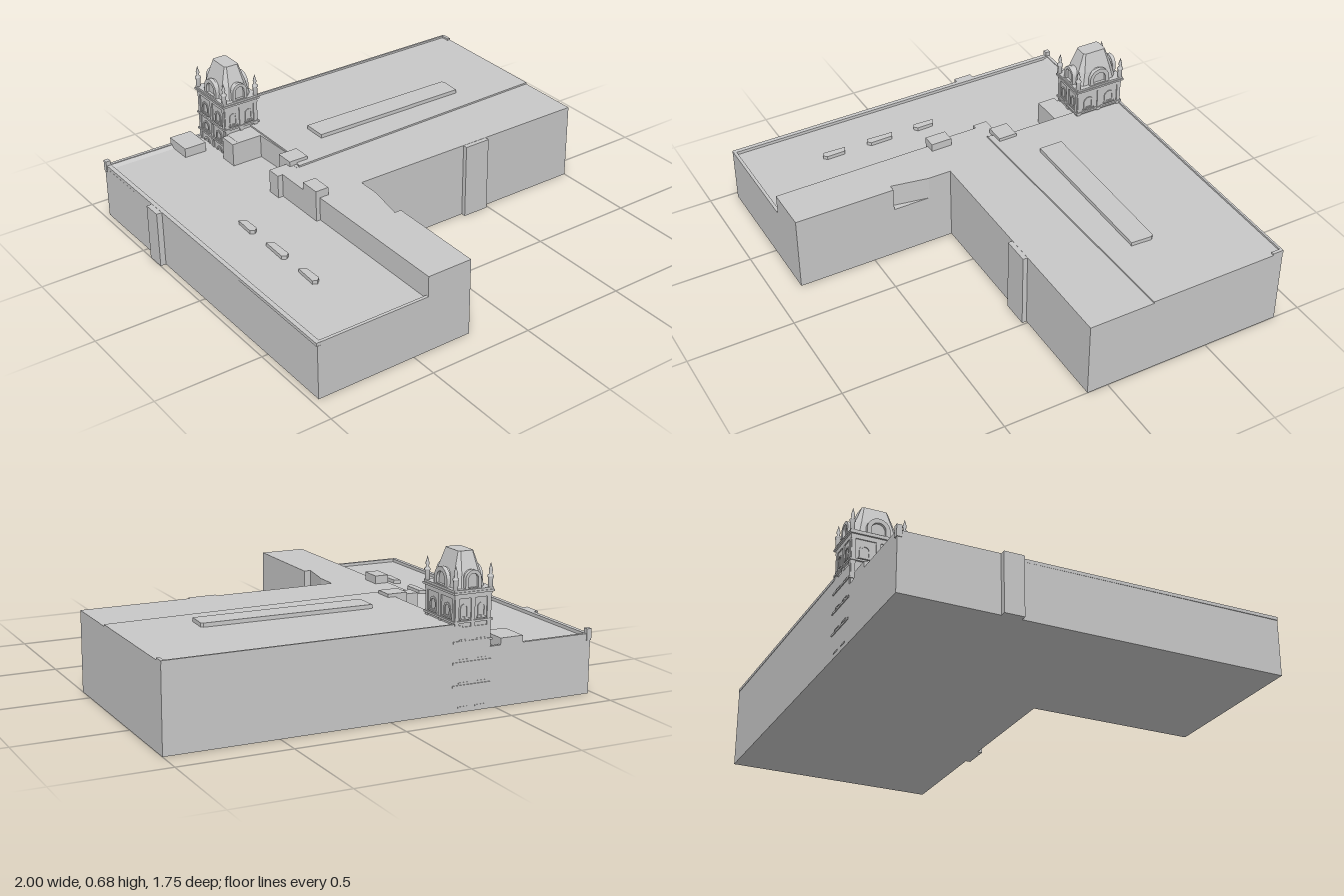
import * as THREE from 'three';
import { ConvexGeometry } from 'three/addons/geometries/ConvexGeometry.js';

const stone = new THREE.MeshStandardMaterial({ color: 0xc8c8c8 });
stone.name = 'pale grey stone';

function add(parent, name, geometry) {
  const mesh = new THREE.Mesh(geometry, stone);
  mesh.name = name;
  parent.add(mesh);
  return mesh;
}

// Box given by its limits on each axis
function block(parent, name, x0, x1, y0, y1, z0, z1) {
  const m = add(parent, name, new THREE.BoxGeometry(x1 - x0, y1 - y0, z1 - z0));
  m.position.set((x0 + x1) / 2, (y0 + y1) / 2, (z0 + z1) / 2);
  return m;
}

// Floor plan of [x, z] corners raised from y0 to y1
function slab(parent, name, plan, y0, y1) {
  const shape = new THREE.Shape(plan.map(([x, z]) => new THREE.Vector2(x, -z)));
  const g = new THREE.ExtrudeGeometry(shape, { depth: y1 - y0, bevelEnabled: false });
  g.rotateX(-Math.PI / 2);
  g.translate(0, y0, 0);
  return add(parent, name, g);
}

function arch(Path, halfWidth, bottom, spring) {
  const p = new Path();
  p.moveTo(-halfWidth, bottom);
  p.lineTo(halfWidth, bottom);
  p.lineTo(halfWidth, spring);
  p.absarc(0, spring, halfWidth, 0, Math.PI, false);
  p.lineTo(-halfWidth, bottom);
  return p;
}

// Rectangle with cut corners, used for the tower roof
function ring(hx, hz, cut, y) {
  const pts = [];
  for (const sx of [-1, 1]) for (const sz of [-1, 1]) {
    pts.push(new THREE.Vector3(sx * (hx - cut), y, sz * hz));
    pts.push(new THREE.Vector3(sx * hx, y, sz * (hz - cut)));
  }
  return pts;
}

function createTower() {
  const tower = new THREE.Group();
  tower.name = 'tower';
  const hx = 0.085, hz = 0.117;
  const tier = (name, grow, y0, y1) =>
    block(tower, name, -hx - grow, hx + grow, y0, y1, -hz - grow, hz + grow);

  tier('towerShaft', 0, 0, 0.51);
  for (const y of [0.11, 0.21, 0.3, 0.385]) tier('ledge', 0.009, y, y + 0.009);
  tier('frieze', 0.005, 0.488, 0.508);
  tier('cornice', 0.013, 0.508, 0.517);
  tier('corniceCap', 0.009, 0.517, 0.526);

  // Pilasters, windows and a dormer on every face
  for (let i = 0; i < 4; i++) {
    const side = new THREE.Group();
    side.name = 'towerSide';
    side.rotation.y = i * Math.PI / 2;
    tower.add(side);
    const half = i % 2 ? hz : hx, out = i % 2 ? hx : hz;
    for (const x of [-half + 0.008, 0, half - 0.008])
      block(side, 'pilaster', x - 0.009, x + 0.009, 0, 0.49, out - 0.002, out + 0.005);
    const rows = [[0.025, 0.09], [0.13, 0.19], [0.23, 0.28], [0.315, 0.365], [0.405, 0.465]];
    for (const [y0, y1] of rows) for (const s of [-1, 1]) {
      const w = half * 0.22, c = s * half * 0.49;
      const frame = arch(THREE.Shape, w, y0, y1 - w);
      frame.holes.push(arch(THREE.Path, w * 0.65, y0 + 0.006, y1 - w));
      const g = new THREE.ExtrudeGeometry(frame, { depth: 0.004, bevelEnabled: false, curveSegments: 6 });
      add(side, 'windowFrame', g).position.set(c, 0, out);
      block(side, 'windowSill', c - w - 0.004, c + w + 0.004, y0 - 0.006, y0, out, out + 0.007);
    }

    const r = i % 2 ? 0.052 : 0.038, spring = 0.605 - r;
    const face = arch(THREE.Shape, r, 0.524, spring);
    face.holes.push(arch(THREE.Path, r * 0.62, 0.53, spring));
    const dg = new THREE.ExtrudeGeometry(face, { depth: 0.018, bevelEnabled: false, curveSegments: 10 });
    add(side, 'dormerArch', dg).position.z = out - 0.015;
    const back = new THREE.ExtrudeGeometry(arch(THREE.Shape, r * 0.9, 0.524, spring),
      { depth: 0.045, bevelEnabled: false, curveSegments: 10 });
    add(side, 'dormerBody', back).position.z = out - 0.055;
  }

  // Steep roof with a flat top
  add(tower, 'towerRoof', new ConvexGeometry([
    ...ring(0.074, 0.106, 0.024, 0.524), ...ring(0.062, 0.09, 0.022, 0.59), ...ring(0.036, 0.058, 0.008, 0.675),
  ]));

  // Corner finials
  const profile = [[0, 0.52], [0.011, 0.52], [0.011, 0.565], [0.014, 0.568], [0.014, 0.574],
    [0.006, 0.582], [0.009, 0.598], [0.005, 0.612], [0, 0.63]];
  const finial = new THREE.LatheGeometry(profile.map(([x, y]) => new THREE.Vector2(x, y)), 8);
  for (const sx of [-1, 1]) for (const sz of [-1, 1])
    add(tower, 'finial', finial).position.set(sx * (hx - 0.001), 0, sz * (hz - 0.001));

  tower.position.set(-0.381, 0, -0.748);
  return tower;
}

export function createModel() {
  const model = new THREE.Group();
  model.name = 'building';
  const roofLow = 0.255, edge = 0.27, roofHigh = 0.367;

  // Whole footprint up to the low roof
  slab(model, 'lowerWalls', [[-0.975, -0.87], [1, -0.87], [1, 0.1], [-0.213, 0.1],
    [-0.213, 0.87], [-0.97, 0.87]], 0, roofLow);

  // Taller block, stepped along the low roof and notched on the inner wall
  slab(model, 'upperBlock', [[-0.46, -0.87], [1, -0.87], [1, 0.1], [-0.213, 0.1], [-0.213, 0.21],
    [-0.245, 0.39], [-0.213, 0.39], [-0.213, 0.87], [-0.43, 0.87], [-0.435, 0.1], [-0.455, 0.1],
    [-0.455, -0.17], [-0.37, -0.17], [-0.37, -0.29], [-0.33, -0.29], [-0.34, -0.53],
    [-0.46, -0.53]], roofLow, roofHigh);
  slab(model, 'northRoof', [[-0.33, -0.87], [1, -0.87], [1, -0.21], [-0.36, -0.175],
    [-0.33, -0.3]], roofHigh, 0.375);
  block(model, 'backParapet', -0.29, 1, 0.37, 0.384, -0.872, -0.862);
  block(model, 'cornerParapet', 0.985, 1, 0.37, 0.384, -0.87, -0.82);
  slab(model, 'longRoofBox', [[-0.135, -0.445], [0.645, -0.435], [0.655, -0.425], [0.65, -0.325],
    [-0.135, -0.33]], 0.37, 0.393);

  // Parapets of the low roof
  block(model, 'sideParapet', -0.974, -0.953, roofLow, edge, -0.87, 0.869);
  block(model, 'frontParapet', -0.953, -0.43, roofLow, edge, 0.855, 0.87);
  block(model, 'rearParapet', -0.953, -0.46, roofLow, edge, -0.87, -0.855);
  block(model, 'cornerPost', -0.978, -0.955, 0.24, 0.292, -0.874, -0.85);
  const slope = slab(model, 'rearRoofSlope', [[0, 0], [0.03, 0], [0, -0.015]], 0, 0.32);
  slope.rotation.set(0, 0, -Math.PI / 2);
  slope.rotation.reorder('YXZ');
  slope.rotation.y = Math.PI / 2;
  slope.visible = true;
  model.remove(slope);
  model.add(ridge());

  // Rooftop boxes
  block(model, 'rearRoofBox', -0.63, -0.52, roofLow, 0.3, -0.87, -0.73);
  block(model, 'towerLink', -0.49, -0.45, roofLow, 0.366, -0.62, -0.53);
  block(model, 'stairBox', -0.39, -0.295, roofLow, 0.39, -0.295, -0.205);
  block(model, 'ventBox', -0.48, -0.36, roofLow, 0.366, -0.235, -0.165);
  block(model, 'chimneyBox', -0.455, -0.39, roofLow, 0.404, 0, 0.101);
  for (const [z0, z1] of [[-0.08, 0.03], [0.14, 0.28], [0.39, 0.51]])
    slab(model, 'skylight', [[-0.74, z0], [-0.71, z0 + 0.015], [-0.708, z1 - 0.015],
      [-0.725, z1], [-0.745, z1 - 0.01]], roofLow, 0.272);

  // Wall buttresses
  block(model, 'frontButtress', 0.36, 0.49, 0, 0.366, 0.09, 0.122);
  block(model, 'sideButtress', -1, -0.97, 0, 0.269, -0.43, -0.34);

  model.add(createTower());
  return model;
}

// Sloping strip behind the rear parapet
function ridge() {
  const pts = [];
  for (const x of [-0.953, -0.63])
    pts.push(new THREE.Vector3(x, 0.25, -0.86), new THREE.Vector3(x, 0.27, -0.86), new THREE.Vector3(x, 0.25, -0.83));
  const mesh = new THREE.Mesh(new ConvexGeometry(pts), stone);
  mesh.name = 'rearRoofSlope';
  return mesh;
}
